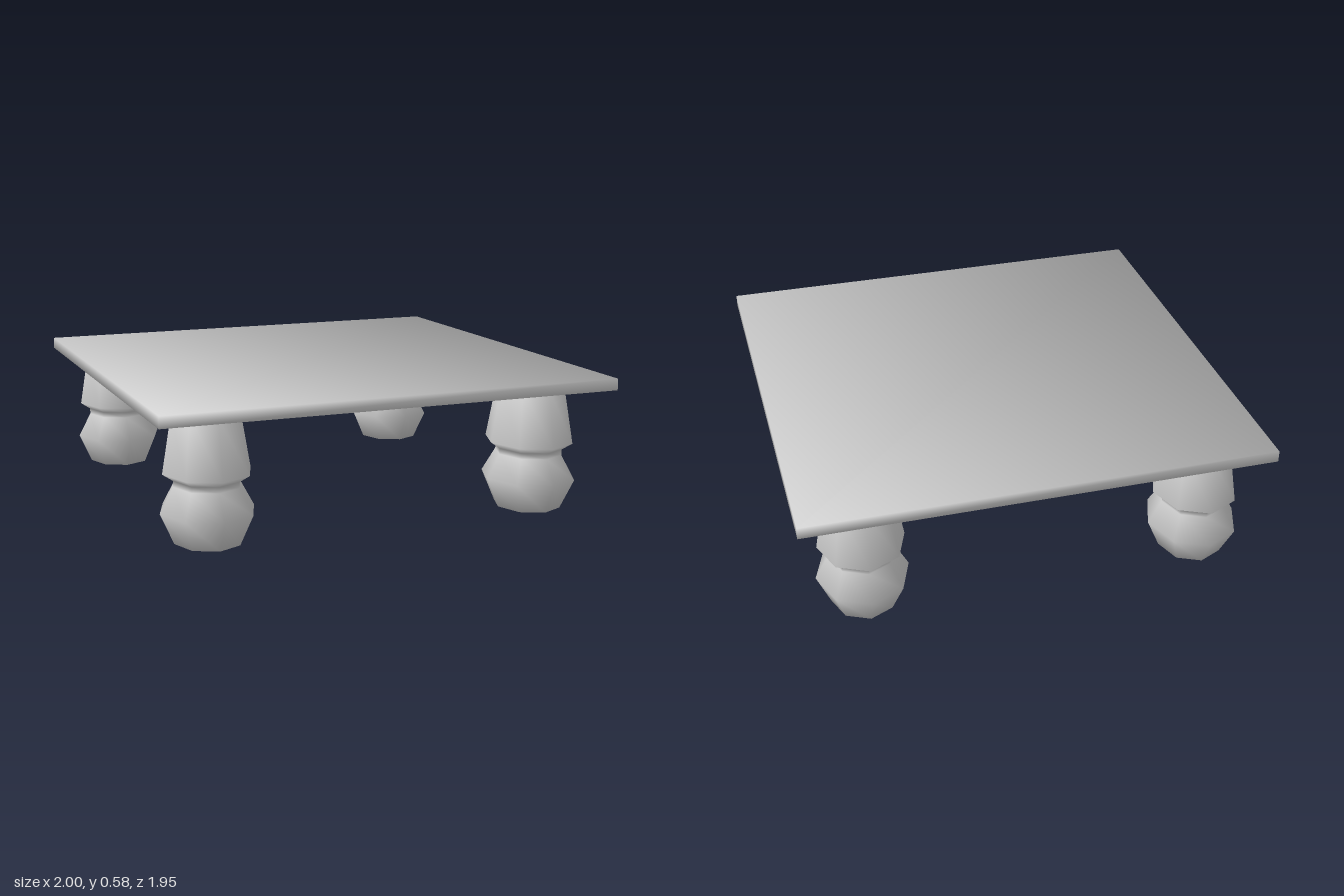
import * as THREE from 'three';
import { mergeVertices } from 'three/addons/utils/BufferGeometryUtils.js';

const material = new THREE.MeshStandardMaterial({ color: 0xcccccc });

// Weld the corners so shading runs smoothly over every edge
function smooth(geometry) {
  geometry.deleteAttribute('normal');
  geometry.deleteAttribute('uv');
  const welded = mergeVertices(geometry, 1e-4);
  welded.computeVertexNormals();
  return welded;
}

function createTop() {
  const geometry = smooth(new THREE.BoxGeometry(2, 0.05, 1.95));
  // Soft corners: each normal points evenly along its three faces
  const { position, normal } = geometry.attributes;
  const n = new THREE.Vector3();
  for (let i = 0; i < position.count; i++) {
    n.fromBufferAttribute(position, i);
    n.set(Math.sign(n.x), Math.sign(n.y), Math.sign(n.z)).normalize();
    normal.setXYZ(i, n.x, n.y, n.z);
  }
  const top = new THREE.Mesh(geometry, material);
  top.name = 'tableTop';
  top.position.y = 0.556;
  return top;
}

// Turned eight-sided leg, slightly narrower across x: foot bulb, neck, tapered block
function createLegGeometry() {
  const profile = [
    [0, 0], [0.16, 0], [0.225, 0.13], [0.16, 0.235],
    [0.16, 0.26], [0.21, 0.29], [0.162, 0.535], [0, 0.535],
  ].map(([r, y]) => new THREE.Vector2(r, y));
  const geometry = new THREE.LatheGeometry(profile, 8);
  geometry.scale(0.875, 1, 1);
  return smooth(geometry);
}

export function createModel() {
  const table = new THREE.Group();
  table.name = 'table';
  table.add(createTop());

  const legGeometry = createLegGeometry();
  for (const [endName, z] of [['front', 0.73], ['back', -0.735]]) {
    for (const [sideName, x] of [['Left', 0.72], ['Right', -0.742]]) {
      const leg = new THREE.Mesh(legGeometry, material);
      leg.name = `${endName}${sideName}Leg`;
      leg.position.set(x, 0, z);
      table.add(leg);
    }
  }
  return table;
}
